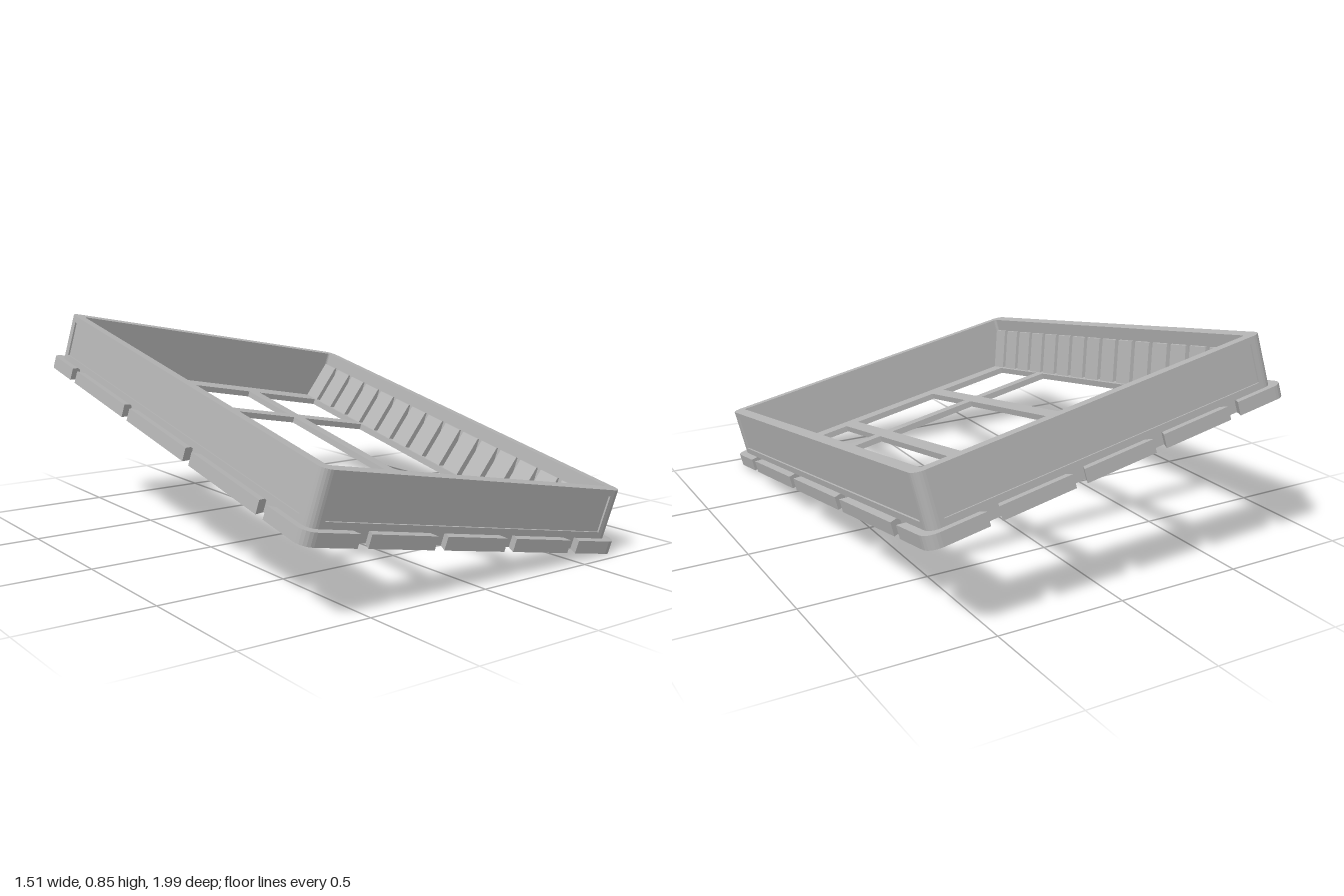
import * as THREE from 'three';

const grey = new THREE.MeshStandardMaterial({ color: 0xb4b4b4 });

// Half sizes: x is the tray's width, y its depth
const FLANGE = [0.745, 0.995], WALL = [0.715, 0.966], INNER = [0.67, 0.921];
const FLANGE_TOP = 0.05, FLOOR_TOP = 0.025, TOP = 0.245;

// Rounded rectangle whose four sides can each carry extra [along, outward] points
function outline([hx, hy], r, sidePoints = () => []) {
  const pts = [];
  for (let k = 0; k < 4; k++) {
    const t = k * Math.PI / 2;
    const [along, out] = k % 2 ? [hx, hy] : [hy, hx];
    const put = (u, v) => pts.push(new THREE.Vector2(
      v * Math.cos(t) - u * Math.sin(t), v * Math.sin(t) + u * Math.cos(t)));
    for (const [u, v] of sidePoints(along, out, k % 2 === 1)) put(u, v);
    for (let i = 0; i <= 6; i++) {
      const a = i / 6 * Math.PI / 2;
      put(along - r + r * Math.sin(a), out - r + r * Math.cos(a));
    }
  }
  return pts;
}

function rect(x0, x1, y0, y1) {
  return [[x0, y0], [x1, y0], [x1, y1], [x0, y1]].map(p => new THREE.Vector2(...p));
}

// Horizontal slab between two heights, with holes
function slab(name, points, holes, y0, y1) {
  const shape = new THREE.Shape(points);
  for (const h of holes) shape.holes.push(new THREE.Path(h));
  const geo = new THREE.ExtrudeGeometry(shape, { depth: y1 - y0, bevelEnabled: false });
  geo.rotateX(-Math.PI / 2).translate(0, y0, 0);
  const mesh = new THREE.Mesh(geo, grey);
  mesh.name = name;
  return mesh;
}

// Four dovetail notches along every side of the flange
function dovetails(along, out, shortSide) {
  const pitch = shortSide ? 1 / 3 : 0.5;
  const pts = [];
  for (let i = 0; i < 4; i++) {
    const c = (i - 1.5) * pitch;
    pts.push([c - 0.022, out], [c - 0.045, out - 0.045], [c + 0.045, out - 0.045], [c + 0.022, out]);
  }
  return pts;
}

// Shallow recessed panel between the corner posts
function recess(along, out) {
  const e = along - 0.06, d = out - 0.007;
  return [[-e, out], [-e, d], [e, d], [e, out]];
}

// Wedge-shaped divider teeth on one long inner wall
function teethRow(name) {
  const row = new THREE.Group();
  row.name = name;
  const profile = new THREE.Shape([[0, 0], [0, 0.167], [-0.008, 0.167], [-0.069, 0]]
    .map(p => new THREE.Vector2(...p)));
  const pitch = 0.118, gap = 0.024, end = INNER[1];
  for (let i = 0; i < 16; i++) {
    const z0 = i === 0 ? -end : (i - 8) * pitch + gap / 2;
    const z1 = i === 15 ? end : (i - 7) * pitch - gap / 2;
    const geo = new THREE.ExtrudeGeometry(profile, { depth: z1 - z0, bevelEnabled: false });
    geo.translate(INNER[0], FLOOR_TOP, z0);
    const tooth = new THREE.Mesh(geo, grey);
    tooth.name = 'tooth';
    row.add(tooth);
  }
  return row;
}

export function createModel() {
  const tray = new THREE.Group();
  tray.name = 'tray';
  const inside = outline(INNER, 0.012);

  // Base flange and walls
  tray.add(slab('flange', outline(FLANGE, 0.05, dovetails), [inside], 0, FLANGE_TOP));
  tray.add(slab('lowerWall', outline(WALL, 0.04), [inside], FLANGE_TOP, 0.075));
  tray.add(slab('panelWall', outline(WALL, 0.04, recess), [inside], 0.075, 0.22));
  tray.add(slab('topRim', outline(WALL, 0.04), [inside], 0.22, TOP));

  // Floor grid with nine openings
  const columns = [[-0.59, -0.26], [-0.2, 0.2], [0.26, 0.59]];
  const rows = [[-0.84, -0.505], [-0.45, 0.45], [0.505, 0.84]];
  const openings = columns.flatMap(c => rows.map(r => rect(...c, ...r)));
  tray.add(slab('floorGrid', inside, openings, 0, FLOOR_TOP));

  // Divider teeth on both long walls
  const rightTeeth = teethRow('leftTeeth');
  const leftTeeth = teethRow('rightTeeth');
  leftTeeth.rotation.y = Math.PI;
  tray.add(rightTeeth, leftTeeth);

  // The whole tray is tilted sideways and forwards
  const front = new THREE.Vector3(-0.018, -0.179, 0.984).normalize();
  const up = new THREE.Vector3().crossVectors(front, new THREE.Vector3(0.9826, -0.185, -0.016)).normalize();
  const side = new THREE.Vector3().crossVectors(up, front);
  tray.quaternion.setFromRotationMatrix(new THREE.Matrix4().makeBasis(side, up, front));

  const model = new THREE.Group();
  model.name = 'tiltedTray';
  model.add(tray);

  // Stand on the ground, centred
  model.updateMatrixWorld(true);
  const box = new THREE.Box3().setFromObject(model, true);
  const c = box.getCenter(new THREE.Vector3());
  tray.position.set(-c.x, -box.min.y, -c.z);
  return model;
}
